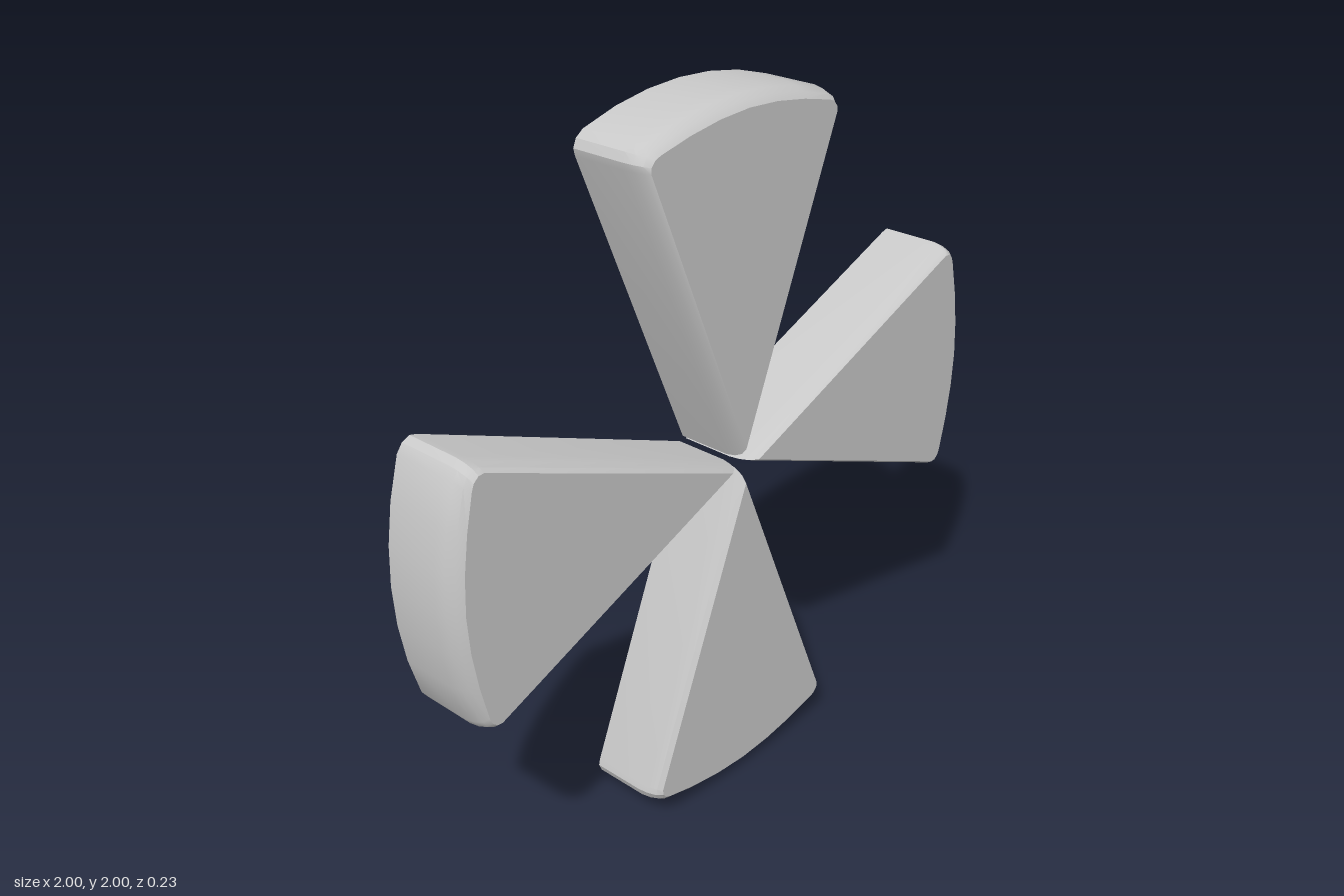
import * as THREE from 'three';
import { toCreasedNormals } from 'three/addons/utils/BufferGeometryUtils.js';

// Right half of a petal outline: [half width, radius, width inset, radius inset at the front]
const HALF = [
  [0, 0.012, 0, -0.04],
  [0.358, 0.885, 0.018, 0],
  [0.363, 0.905, 0.024, 0.004],
  [0.353, 0.928, 0.027, 0.012],
  [0.33, 0.945, 0.022, 0.022],
  [0.22, 0.976, 0.012, 0.03],
  [0.11, 0.994, 0.006, 0.032],
  [0, 1, 0, 0.032],
];

// Depth steps of the shell wall: [z, share of the inset]
const STEPS = [[-0.115, 0], [0.045, 0], [0.075, 0.17], [0.1, 0.5], [0.115, 1]];

// Closed counter-clockwise outline for one depth step
function outline(t) {
  const right = HALF.map(([w, r, dw, dr]) => new THREE.Vector2(w - dw * t, r - dr * t));
  const left = right.slice(1, -1).reverse().map((p) => new THREE.Vector2(-p.x, p.y));
  return [...right, ...left];
}

// Wall lofted through the outlines, open at the back
function wallGeometry() {
  const positions = [];
  const index = [];
  const n = outline(0).length;
  STEPS.forEach(([z, t], k) => {
    outline(t).forEach((p) => positions.push(p.x, p.y, z));
    if (k === 0) return;
    for (let i = 0; i < n; i++) {
      const j = (i + 1) % n;
      const a = (k - 1) * n + i, b = (k - 1) * n + j;
      index.push(a, b, b + n, a, b + n, a + n);
    }
  });
  const geometry = new THREE.BufferGeometry();
  geometry.setAttribute('position', new THREE.Float32BufferAttribute(positions, 3));
  geometry.setIndex(index);
  return toCreasedNormals(geometry, 0.5);
}

export function createModel() {
  const model = new THREE.Group();
  model.name = 'fourPetalCross';
  const grey = new THREE.MeshStandardMaterial({ color: 0xc8c8c8, side: THREE.DoubleSide });
  grey.name = 'light grey';

  const wall = wallGeometry();
  const plate = new THREE.ShapeGeometry(new THREE.Shape(outline(1)));
  plate.translate(0, 0, STEPS[STEPS.length - 1][0]);

  // Four hollow wedge petals around the centre
  ['top', 'left', 'bottom', 'right'].forEach((side, i) => {
    const petal = new THREE.Group();
    petal.name = side + 'Petal';
    const rim = new THREE.Mesh(wall, grey);
    rim.name = 'petalWall';
    const face = new THREE.Mesh(plate, grey);
    face.name = 'petalFace';
    petal.add(rim, face);
    petal.position.y = 1;
    petal.rotation.z = -i * Math.PI / 2;
    model.add(petal);
  });
  return model;
}
